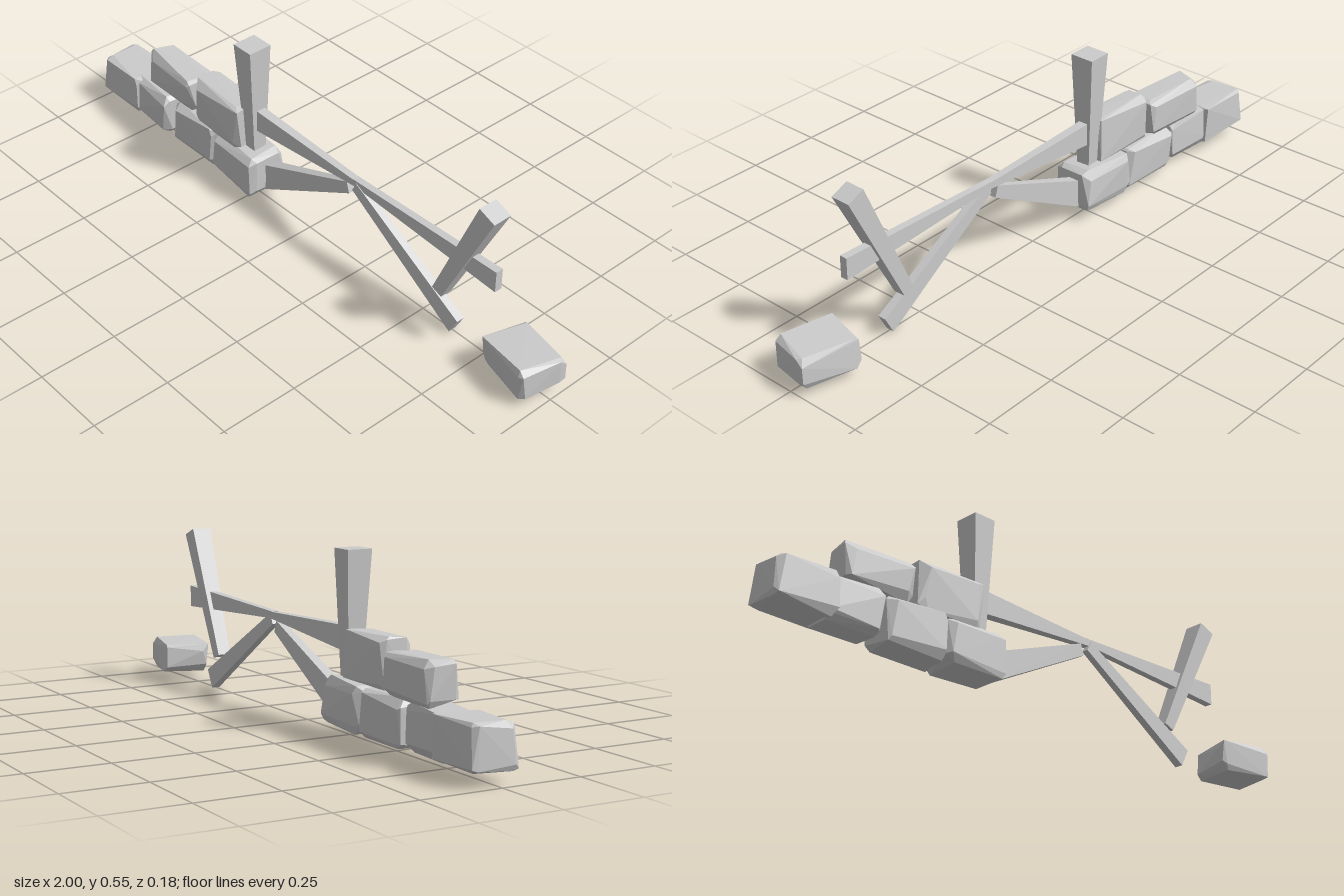
import * as THREE from 'three';
import { ConvexGeometry } from 'three/addons/geometries/ConvexGeometry.js';

const material = new THREE.MeshStandardMaterial({ color: 0xcccccc, flatShading: true });

function seeded(seed) {
  let s = seed * 7919 + 17;
  return () => (s = (s * 16807) % 2147483647) / 2147483647;
}

// Rough-hewn block: a box with unevenly chipped corners, fitted to its extents
function stone(name, seed, [x0, x1], [y0, y1], [z0, z1], yaw = 0) {
  const rand = seeded(seed);
  for (let i = 0; i < 5; i++) rand();
  const size = new THREE.Vector3(x1 - x0, y1 - y0, z1 - z0);
  const points = [];
  for (const sx of [-1, 1]) for (const sy of [-1, 1]) for (const sz of [-1, 1]) {
    const inset = () => 0.008 + 0.026 * rand();
    const corner = [sx, sy, sz];
    for (let axis = 0; axis < 3; axis++) {
      const p = corner.map((s, i) => {
        const half = size.getComponent(i) / 2;
        return s * (half - (i === axis ? 0.012 * rand() : inset()));
      });
      points.push(new THREE.Vector3(...p).applyAxisAngle(new THREE.Vector3(0, 1, 0), yaw));
    }
  }
  const box = new THREE.Box3().setFromPoints(points);
  const fit = size.clone().divide(box.getSize(new THREE.Vector3()));
  const mid = box.getCenter(new THREE.Vector3());
  const target = new THREE.Vector3((x0 + x1) / 2, (y0 + y1) / 2, (z0 + z1) / 2);
  points.forEach((p) => p.sub(mid).multiply(fit).add(target));
  const mesh = new THREE.Mesh(new ConvexGeometry(points), material);
  mesh.name = name;
  return mesh;
}

// Tapered timber: each end gives its upper and lower edge [x, y] and its depth [back, front]
function beam(name, a, b) {
  const geometry = new THREE.BoxGeometry(1, 1, 1).toNonIndexed();
  const pos = geometry.attributes.position;
  for (let i = 0; i < pos.count; i++) {
    const end = pos.getX(i) < 0 ? a : b;
    const [x, y] = pos.getY(i) > 0 ? end.upper : end.lower;
    pos.setXYZ(i, x, y, pos.getZ(i) > 0 ? end.z[1] : end.z[0]);
  }
  geometry.computeVertexNormals();
  const mesh = new THREE.Mesh(geometry, material);
  mesh.name = name;
  return mesh;
}

export function createModel() {
  const model = new THREE.Group();
  model.name = 'brokenFenceWall';

  // Stacked stone wall
  const wall = new THREE.Group();
  wall.name = 'stoneWall';
  wall.add(
    stone('lowerStoneA', 1, [-1.0, -0.79], [0.03, 0.17], [-0.085, 0.062], -0.05),
    stone('lowerStoneB', 2, [-0.83, -0.63], [0.025, 0.17], [-0.07, 0.065], -0.06),
    stone('lowerStoneC', 3, [-0.618, -0.395], [0.025, 0.172], [-0.07, 0.06], -0.05),
    stone('lowerStoneD', 4, [-0.41, -0.19], [0.028, 0.175], [-0.072, 0.073], -0.05),
    stone('upperStoneA', 5, [-0.76, -0.515], [0.165, 0.295], [-0.068, 0.052], -0.04),
    stone('upperStoneB', 6, [-0.51, -0.278], [0.165, 0.322], [-0.052, 0.058], -0.05),
  );
  model.add(wall);

  // Loose stone at the far end
  model.add(stone('looseStone', 7, [0.782, 1.0], [0.022, 0.127], [-0.09, 0.09], -0.22));

  // Upright and leaning posts
  model.add(
    beam('uprightPost',
      { upper: [-0.277, 0.1], lower: [-0.24, 0.1], z: [-0.022, 0.018] },
      { upper: [-0.302, 0.545], lower: [-0.225, 0.545], z: [-0.04, 0.04] }),
    beam('leaningPost',
      { upper: [0.545, 0.122], lower: [0.582, 0.108], z: [-0.026, 0.015] },
      { upper: [0.72, 0.523], lower: [0.777, 0.5], z: [-0.03, 0.034] }),
  );

  // Two rails meeting at a thin break
  model.add(
    beam('leftRail',
      { upper: [-0.26, 0.322], lower: [-0.26, 0.245], z: [-0.02, 0.012] },
      { upper: [0.225, 0.305], lower: [0.215, 0.285], z: [-0.014, 0.008] }),
    beam('rightRail',
      { upper: [0.2, 0.307], lower: [0.21, 0.285], z: [-0.014, 0.008] },
      { upper: [0.78, 0.325], lower: [0.78, 0.255], z: [-0.012, 0.013] }),
  );

  // Fallen braces
  model.add(
    beam('leftBrace',
      { upper: [-0.225, 0.125], lower: [-0.21, 0.035], z: [-0.022, 0.015] },
      { upper: [0.172, 0.282], lower: [0.183, 0.245], z: [-0.014, 0.008] }),
    beam('rightBrace',
      { upper: [0.215, 0.3], lower: [0.198, 0.268], z: [-0.012, 0.01] },
      { upper: [0.65, 0.057], lower: [0.62, 0.0], z: [-0.014, 0.014] }),
  );
  return model;
}
